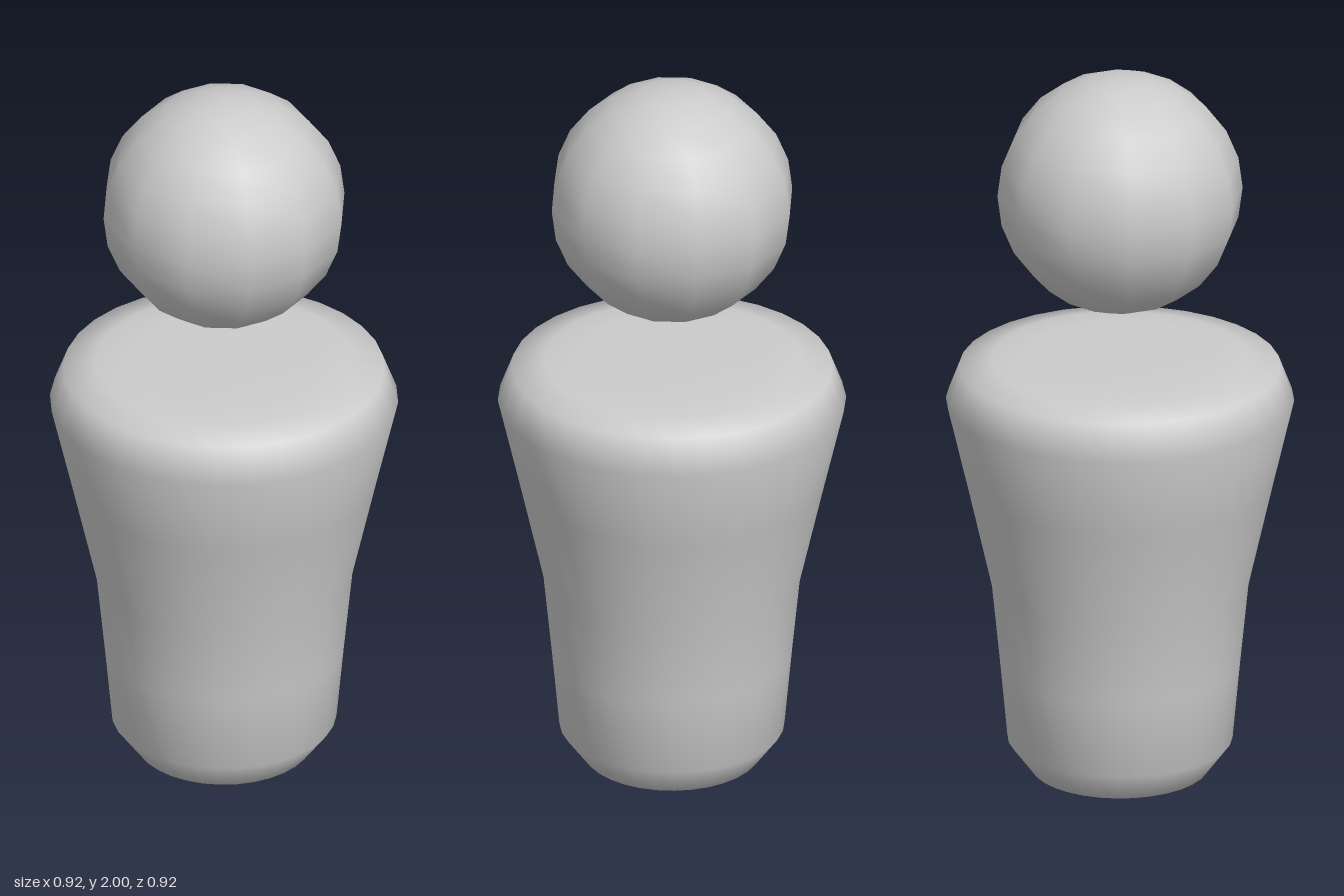
import * as THREE from 'three';

export function createModel() {
  const group = new THREE.Group();
  const material = new THREE.MeshStandardMaterial({ color: 0xcccccc });

  // Tapered body with rounded shoulders and base: [radius, height]
  const profile = [
    [0, 0], [0.12, 0.004], [0.235, 0.04], [0.298, 0.125], [0.318, 0.34],
    [0.34, 0.56], [0.406, 0.85], [0.461, 1.085], [0.425, 1.18],
    [0.34, 1.198], [0.25, 1.206], [0, 1.206],
  ].map(([r, y]) => new THREE.Vector2(r, y));
  const body = new THREE.Mesh(new THREE.LatheGeometry(profile, 32), material);
  body.name = 'body';

  // Head floating above the shoulders
  const radius = 0.326;
  const head = new THREE.Mesh(new THREE.SphereGeometry(radius, 12, 12), material);
  head.name = 'head';
  head.position.y = 2 - radius;

  group.add(body, head);
  return group;
}
